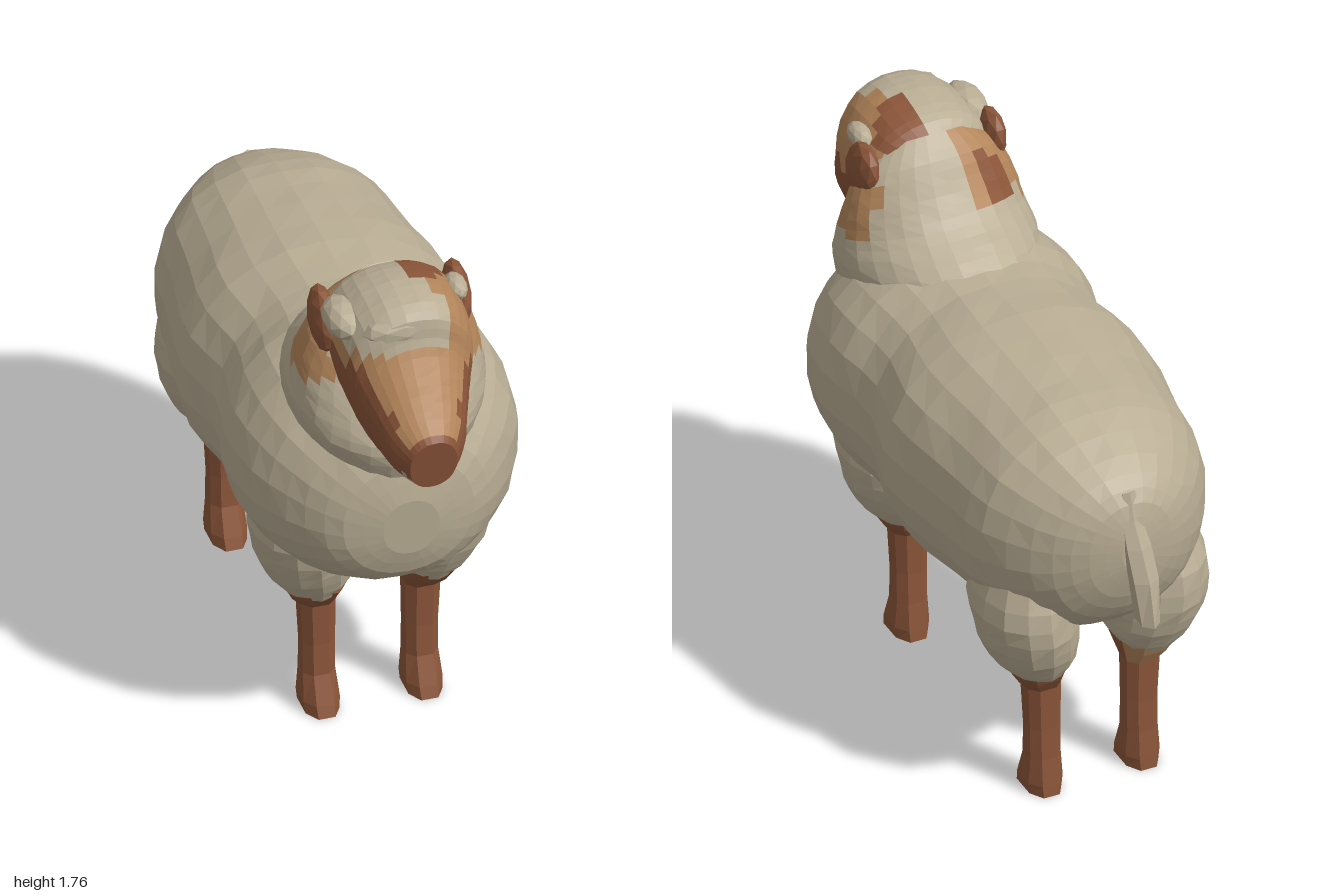
import * as THREE from 'three';

const flat = (name, color) => {
  const m = new THREE.MeshStandardMaterial({ color, flatShading: true });
  m.name = name;
  return m;
};

// Each section is [centreX, zA, yA, zB, yB, halfWidth]: an oval whose one axis runs from A to B.
// Sections are splined, joined and capped; paint(centre) picks a material index per facet.
function loft(name, sections, { rings, sides, power = 1, bump = 0, paint = () => 0, mats }) {
  const curveA = new THREE.CatmullRomCurve3(sections.map(s => new THREE.Vector3(s[0], s[2], s[1])), false, 'catmullrom');
  const curveB = new THREE.CatmullRomCurve3(sections.map(s => new THREE.Vector3(s[5], s[4], s[3])), false, 'catmullrom');
  const soft = v => Math.sign(v) * Math.abs(v) ** power;
  const grid = [], centres = [];
  for (let i = 0; i <= rings; i++) {
    const a = curveA.getPoint(i / rings), b = curveB.getPoint(i / rings);
    const mid = new THREE.Vector3(a.x, (a.y + b.y) / 2, (a.z + b.z) / 2);
    centres.push(mid);
    grid.push(Array.from({ length: sides }, (_, j) => {
      const t = (j + 0.5) / sides * Math.PI * 2, c = soft(Math.cos(t)), s = soft(Math.sin(t));
      const k = 1 + bump * Math.sin(i * 1.9 + j * 2.3) * Math.cos(j * 1.3 - i * 0.8);
      return new THREE.Vector3(mid.x + b.x * c * k, mid.y + (a.y - b.y) / 2 * s * k, mid.z + (a.z - b.z) / 2 * s * k);
    }));
  }
  const faces = [];
  for (let j = 0; j < sides; j++) {
    const n = (j + 1) % sides;
    for (let i = 0; i < rings; i++) faces.push([grid[i][j], grid[i][n], grid[i + 1][n], grid[i + 1][j]]);
    faces.push([centres[0], grid[0][n], grid[0][j]]);
    faces.push([centres[rings], grid[rings][j], grid[rings][n]]);
  }
  const buckets = mats.map(() => []);
  let volume = 0;
  for (const f of faces) {
    const c = f.reduce((sum, p) => sum.add(p), new THREE.Vector3()).divideScalar(f.length);
    for (let k = 1; k < f.length - 1; k++) {
      buckets[paint(c)].push([f[0], f[k], f[k + 1]]);
      volume += f[0].dot(f[k].clone().cross(f[k + 1]));
    }
  }
  const geo = new THREE.BufferGeometry(), points = [];
  buckets.forEach((tris, m) => {
    const start = points.length;
    tris.forEach(([p, q, r]) => volume > 0 ? points.push(p, q, r) : points.push(p, r, q));
    if (tris.length) geo.addGroup(start, tris.length * 3, m);
  });
  geo.setFromPoints(points);
  geo.computeVertexNormals();
  const mesh = new THREE.Mesh(geo, mats);
  mesh.name = name;
  return mesh;
}

function blob(name, material, [x, y, z], [rx, ry, rz], tilt = 0) {
  const mesh = new THREE.Mesh(new THREE.IcosahedronGeometry(1, 1), material);
  mesh.name = name;
  mesh.position.set(x, y, z);
  mesh.scale.set(rx, ry, rz);
  mesh.rotation.x = tilt;
  return mesh;
}

export function createModel() {
  const sheep = new THREE.Group();
  sheep.name = 'sheep';
  const wool = flat('wool', 0xb9ad94);
  const brown = flat('darkBrown', 0x8b5539);
  const tan = flat('tan', 0xb3855a);
  const mats = [wool, brown, tan];
  const WOOL = 0, BROWN = 1, TAN = 2;

  // Barrel of the body, rump to chest, with a tan patch under the belly
  sheep.add(loft('body', [
    [0, -0.90, 1.10, -0.90, 0.95, 0.04],
    [0, -0.87, 1.20, -0.86, 0.82, 0.16],
    [0, -0.78, 1.28, -0.78, 0.70, 0.275],
    [0, -0.60, 1.36, -0.62, 0.60, 0.385],
    [0, -0.40, 1.385, -0.42, 0.56, 0.415],
    [0, -0.12, 1.405, -0.12, 0.545, 0.46],
    [0, 0.10, 1.40, 0.10, 0.56, 0.415],
    [0, 0.30, 1.42, 0.30, 0.57, 0.455],
    [0, 0.48, 1.38, 0.50, 0.60, 0.43],
    [0, 0.63, 1.29, 0.63, 0.65, 0.345],
    [0, 0.73, 1.17, 0.72, 0.72, 0.23],
    [0, 0.765, 1.02, 0.755, 0.82, 0.09],
  ], {
    rings: 26, sides: 26, power: 0.92, bump: 0.008, mats,
    paint: ({ x, y, z }) => y < 0.6 && x > -0.17 && x < 0.1 && z > -0.4 && z < -0.08 ? TAN : WOOL,
  }));
  sheep.add(blob('udder', brown, [-0.01, 0.555, -0.2], [0.085, 0.043, 0.12]));

  // Woolly neck with tan patches beside the ears and on one side of the nape
  sheep.add(loft('neck', [
    [0, 0.68, 0.95, 0.05, 1.20, 0.28],
    [0, 0.74, 1.08, 0.10, 1.36, 0.30],
    [0, 0.78, 1.20, 0.18, 1.43, 0.315],
    [0, 0.75, 1.30, 0.28, 1.49, 0.30],
    [0, 0.70, 1.40, 0.35, 1.57, 0.28],
    [0, 0.66, 1.50, 0.41, 1.66, 0.24],
    [0, 0.62, 1.60, 0.47, 1.72, 0.16],
  ], {
    rings: 18, sides: 30, bump: 0.006, mats,
    paint: ({ x, y, z }) => {
      if (x < -0.05 && y > 1.5 && z > 0.28 && z < 0.5) return x < -0.12 && x > -0.2 && z < 0.42 ? BROWN : TAN;
      return y > 1.42 && y < 1.6 && Math.abs(x) > 0.2 && z > 0.42 ? TAN : WOOL;
    },
  }));

  // Head, nape to muzzle: wool crown and jaw, tan face, dark cheeks and nose
  sheep.add(loft('head', [
    [0, 0.46, 1.70, 0.44, 1.50, 0.12],
    [0, 0.52, 1.75, 0.50, 1.42, 0.20],
    [0, 0.66, 1.775, 0.60, 1.34, 0.215],
    [0, 0.79, 1.745, 0.68, 1.28, 0.205],
    [0, 0.82, 1.64, 0.75, 1.24, 0.18],
    [0, 0.88, 1.55, 0.83, 1.225, 0.15],
    [0, 0.94, 1.47, 0.91, 1.215, 0.12],
    [0, 1.00, 1.40, 0.965, 1.215, 0.075],
  ], {
    rings: 26, sides: 28, power: 0.9, bump: 0.006, mats,
    paint: ({ x, y, z }) => {
      if (z < 0.965 && y < Math.max(1.275, 1.43 - 0.8 * (z - 0.6))) return x < -0.03 && z < 0.9 ? TAN : WOOL;
      if (Math.hypot((x - 0.09) / 0.075, (z - 0.54) / 0.1) < 1 && y > 1.65) return BROWN;
      if (z < 0.5) return WOOL;
      if (y > 1.63) return x > 0.1 ? TAN : WOOL;
      if (y < 1.31 || z > 0.985) return BROWN;
      return Math.abs(x) > 0.045 + (y - 1.3) * 0.4 && y < (x < 0 ? 1.58 : 1.53) ? BROWN : TAN;
    },
  }));

  // Ears and the wool tufts above them, fuller on one side
  for (const side of [-1, 1]) {
    sheep.add(blob(side > 0 ? 'leftEar' : 'rightEar', brown, [side * 0.215, 1.605, 0.54], [0.042, 0.11, 0.085], -0.45));
  }
  sheep.add(blob('leftTuft', wool, [0.19, 1.685, 0.61], [0.035, 0.035, 0.06]));
  sheep.add(blob('rightTuft', wool, [-0.185, 1.67, 0.64], [0.06, 0.055, 0.1]));
  sheep.add(blob('forelock', wool, [-0.03, 1.68, 0.765], [0.13, 0.06, 0.05]));

  // Four legs: woolly upper part and bare shank with a flared hoof
  for (const [end, dz] of [['front', 0], ['back', -0.92]]) {
    for (const side of [-1, 1]) {
      const place = list => list.map(([x, a, b, y, w]) => [x * side, a + dz, y, b + dz, y, w]);
      const leg = new THREE.Group();
      leg.name = end + (side > 0 ? 'Left' : 'Right') + 'Leg';
      leg.add(loft('upperLeg', place([
        [0.20, 0.47, 0.21, 0.92, 0.12],
        [0.225, 0.55, 0.14, 0.76, 0.155],
        [0.215, 0.535, 0.14, 0.63, 0.155],
        [0.195, 0.49, 0.18, 0.53, 0.135],
        [0.185, 0.45, 0.22, 0.47, 0.09],
      ]), { rings: 9, sides: 14, bump: 0.025, mats }));
      // One back shank has a tan patch behind the top
      const patched = end === 'back' && side < 0;
      leg.add(loft('shank', place([
        [0.185, 0.465, 0.215, 0.495, 0.105],
        [0.18, 0.43, 0.24, 0.445, 0.085],
        [0.168, 0.385, 0.27, 0.40, 0.06],
        [0.165, 0.38, 0.275, 0.25, 0.055],
        [0.165, 0.385, 0.27, 0.14, 0.055],
        [0.165, 0.425, 0.255, 0.05, 0.062],
        [0.165, 0.44, 0.25, 0.012, 0.058],
      ]), {
        rings: 6, sides: 8, power: 0.8, mats,
        paint: ({ y, z }) => patched && y > 0.4 && z < -0.6 ? TAN : BROWN,
      }));
      sheep.add(leg);
    }
  }

  // Tail, hanging from the rump
  sheep.add(loft('tail', [
    [0, -0.83, 1.21, -0.87, 1.22, 0.025],
    [0, -0.85, 1.10, -0.91, 1.10, 0.04],
    [-0.015, -0.88, 0.98, -0.96, 0.98, 0.05],
    [-0.02, -0.89, 0.79, -1.0, 0.79, 0.035],
  ], { rings: 4, sides: 6, mats }));

  return sheep;
}
